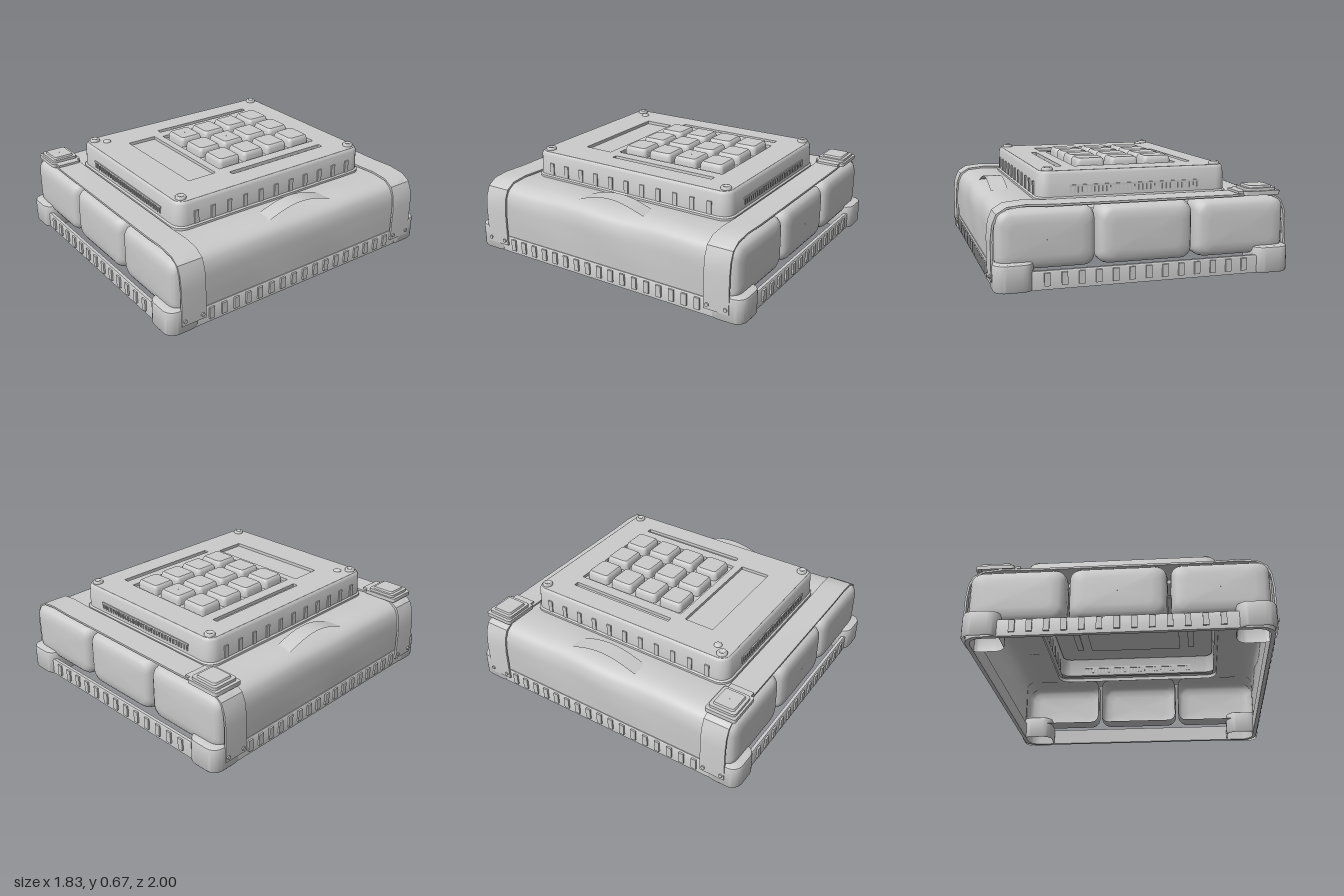
import * as THREE from 'three';
import { toCreasedNormals } from 'three/addons/utils/BufferGeometryUtils.js';

const mat = new THREE.MeshStandardMaterial({ color: 0xcccccc, side: THREE.DoubleSide });

function add(parent, name, geo, x = 0, y = 0, z = 0) {
  const m = new THREE.Mesh(geo, mat);
  m.name = name;
  m.position.set(x, y, z);
  parent.add(m);
  return m;
}
const box = (w, h, d) => new THREE.BoxGeometry(w, h, d);

// Skin through rounded rectangles stacked in y; each section is [width, depth, radius, y]
function loft(sections, cap = false, crease = 0.6) {
  const rows = sections.slice();
  if (cap) rows.push([0.002, 0.002, 0.001, rows[rows.length - 1][3]]);
  const seg = 6, n = 4 * (seg + 1), pos = [], idx = [];
  for (const [w, d, r, y] of rows) {
    for (let q = 0; q < 4; q++) {
      const sx = q === 0 || q === 3 ? 1 : -1, sz = q < 2 ? 1 : -1;
      for (let k = 0; k <= seg; k++) {
        const a = (q + k / seg) * Math.PI / 2;
        pos.push(sx * (w / 2 - r) + r * Math.cos(a), y, sz * (d / 2 - r) + r * Math.sin(a));
      }
    }
  }
  for (let i = 0; i < rows.length - 1; i++) {
    for (let j = 0; j < n; j++) {
      const a = i * n + j, b = i * n + (j + 1) % n;
      idx.push(a, a + n, b, b, a + n, b + n);
    }
  }
  const g = new THREE.BufferGeometry();
  g.setAttribute('position', new THREE.Float32BufferAttribute(pos, 3));
  g.setIndex(idx);
  return toCreasedNormals(g, crease);
}

function rectPath(cx, cz, w, d, r, Type = THREE.Path) {
  const p = new Type(), h = Math.PI / 2, x = w / 2 - r, y = d / 2 - r;
  p.absarc(cx + x, -cz + y, r, 0, h);
  p.absarc(cx - x, -cz + y, r, h, 2 * h);
  p.absarc(cx - x, -cz - y, r, 2 * h, 3 * h);
  p.absarc(cx + x, -cz - y, r, 3 * h, 4 * h);
  p.closePath();
  return p;
}

// Side curve of the soft cover, from its lower hem up to the panel
const coverCurve = new THREE.CatmullRomCurve3([
  [0.88, 0.1], [0.885, 0.25], [0.88, 0.36], [0.855, 0.42], [0.8, 0.452], [0.7, 0.462], [0.58, 0.455],
].map(p => new THREE.Vector3(p[0], p[1], 0)), false, 'centripetal');

function coverSide(s) {
  const g = new THREE.PlaneGeometry(1, 1, 48, 28), p = g.attributes.position;
  for (let i = 0; i < p.count; i++) {
    const t = p.getY(i) + 0.5, z = p.getX(i) * 1.82, c = coverCurve.getPoint(t);
    const wrinkle = 0.007 * Math.sin(z * 9 + t * 5) * Math.sin(t * Math.PI) * Math.cos(z * 1.6);
    p.setXYZ(i, s * (c.x + wrinkle * (1 - t)), c.y + wrinkle * t, -s * z);
  }
  g.computeVertexNormals();
  return g;
}

function strapGeometry() {
  const half = [[0.905, 0.05], [0.905, 0.28], [0.895, 0.37], [0.87, 0.43], [0.81, 0.467], [0.7, 0.478], [0.55, 0.472]];
  const inner = half.map(([x, y]) => [x - 0.012 * (y < 0.45), y - 0.012 * (y > 0.4)]);
  const mirror = a => a.slice().reverse().map(([x, y]) => [-x, y]);
  const pts = [...half, ...mirror(half), ...mirror(mirror(inner)).map(([x, y]) => [x, y])];
  // return along the underside, from the left hem to the right hem
  const under = [...inner.map(([x, y]) => [-x, y]), ...inner.slice().reverse()];
  const outline = [...pts.slice(0, half.length * 2), ...under];
  const shape = new THREE.Shape(outline.map(p => new THREE.Vector2(...p)));
  const g = new THREE.ExtrudeGeometry(shape, { depth: 0.165, bevelEnabled: false });
  return toCreasedNormals(g.translate(0, 0, -0.0825), 0.6);
}

function buildFrame(root) {
  const frame = new THREE.Group();
  frame.name = 'baseFrame';
  root.add(frame);
  add(frame, 'frameWall', loft([
    [1.78, 1.95, 0.1, 0], [1.78, 1.95, 0.1, 0.1], [1.77, 1.94, 0.1, 0.108],
    [1.73, 1.9, 0.08, 0.108], [1.73, 1.9, 0.08, 0], [1.78, 1.95, 0.1, 0]]));
  // Small ribs around the outside
  for (const s of [-1, 1]) {
    for (let i = -6; i <= 6; i++) add(frame, 'endRib', box(0.035, 0.075, 0.016), i * 0.1, 0.06, s * 0.978);
    for (let i = -8; i <= 8; i++) add(frame, 'sideRib', box(0.016, 0.075, 0.035), s * 0.893, 0.06, i * 0.088);
    for (const t of [-1, 1]) {
      add(frame, 'cornerGuard', loft([
        [0.22, 0.22, 0.065, 0], [0.23, 0.23, 0.07, 0.008], [0.23, 0.23, 0.07, 0.14],
        [0.222, 0.222, 0.066, 0.154], [0.2, 0.2, 0.055, 0.16]], true), s * 0.785, 0, t * 0.885);
    }
  }
}

function buildPouches(root) {
  const geo = loft([
    [0.56, 0.34, 0.05, 0], [0.575, 0.345, 0.06, 0.05], [0.575, 0.345, 0.06, 0.105],
    [0.565, 0.335, 0.065, 0.14], [0.54, 0.31, 0.065, 0.16], [0.5, 0.27, 0.055, 0.172],
    [0.4, 0.18, 0.04, 0.178]], true, 1);
  for (const s of [-1, 1]) {
    for (let i = -1; i <= 1; i++) {
      const p = add(root, 'pouch', geo, i * 0.592, 0.28, s * 0.775);
      p.rotation.x = s * Math.PI / 2;
    }
  }
}

function buildCover(root) {
  const strap = strapGeometry();
  for (const s of [-1, 1]) {
    add(root, 'coverSide', coverSide(s));
    const strip = new THREE.PlaneGeometry(1.18, 0.21, 24, 4).rotateX(-Math.PI / 2);
    add(root, 'coverEnd', strip, 0, 0.456, s * 0.805);
    add(root, 'strap', strap, 0, 0, s * 0.833);
    for (const x of [-1, 1]) {
      for (const z of [0.775, 0.895]) {
        const rivet = new THREE.CylinderGeometry(0.012, 0.012, 0.014, 12).rotateZ(Math.PI / 2);
        add(root, 'strapRivet', rivet, x * 0.906, 0.08, s * z);
      }
    }
    // Buckle on each strap
    const buckle = new THREE.Group();
    buckle.name = 'buckle';
    buckle.position.set(-0.735, 0.475, s * 0.838);
    root.add(buckle);
    add(buckle, 'bucklePlate', loft([[0.23, 0.2, 0.015, -0.01], [0.23, 0.2, 0.015, 0.015]], true));
    add(buckle, 'buckleBody', loft([[0.19, 0.175, 0.02, 0.01], [0.19, 0.175, 0.02, 0.032]], true));
    add(buckle, 'buckleButton', loft([[0.15, 0.14, 0.015, 0.03], [0.14, 0.13, 0.015, 0.044]], true));
    add(buckle, 'buckleTongue', box(0.05, 0.014, 0.15), 0.125, 0.008, 0);
    // Arched carrying handle
    const arch = new THREE.PlaneGeometry(0.11, 0.49, 1, 20).rotateX(-Math.PI / 2), p = arch.attributes.position;
    for (let i = 0; i < p.count; i++) p.setY(i, 0.055 * Math.cos(p.getZ(i) / 0.49 * Math.PI));
    arch.computeVertexNormals();
    add(root, 'handle', arch, s * 0.745, 0.459, -0.025);
  }
}

function buildPanel(root) {
  const panel = new THREE.Group();
  panel.name = 'controlPanel';
  root.add(panel);
  add(panel, 'panelWall', loft([
    [1.21, 1.48, 0.08, 0.43], [1.21, 1.48, 0.08, 0.47], [1.19, 1.46, 0.075, 0.478],
    [1.18, 1.45, 0.07, 0.61], [1.165, 1.435, 0.065, 0.625], [1.15, 1.42, 0.06, 0.63]]));
  // Top plate with openings, and a sunken floor under each: x, z, width, depth
  const openings = [[0, -0.145, 0.66, 0.78], [0, 0.395, 0.72, 0.2], [-0.42, -0.15, 0.035, 0.74], [0.42, -0.15, 0.035, 0.74]];
  const shape = rectPath(0, 0, 1.152, 1.422, 0.06, THREE.Shape);
  for (const [x, z, w, d] of openings) {
    shape.holes.push(rectPath(x, z, w, d, 0.004));
    add(panel, 'sunkenFloor', box(w + 0.01, 0.012, d + 0.01), x, 0.604, z);
  }
  const plate = new THREE.ExtrudeGeometry(shape, { depth: 0.025, bevelEnabled: false, curveSegments: 6 });
  add(panel, 'topPlate', plate.rotateX(-Math.PI / 2), 0, 0.605, 0);
  // Keypad
  const key = loft([[0.18, 0.165, 0.025, 0], [0.18, 0.165, 0.025, 0.035], [0.168, 0.153, 0.025, 0.055],
    [0.15, 0.135, 0.02, 0.063]], true);
  for (let i = -1; i <= 1; i++) {
    for (let j = 0; j < 4; j++) add(panel, 'key', key, i * 0.216, 0.609, -0.433 + j * 0.191);
  }
  // Corner screws and indicator lamp
  const screw = new THREE.LatheGeometry([[0.033, 0], [0.033, 0.012], [0.027, 0.02], [0.018, 0.02], [0.016, 0.012], [0, 0.012]]
    .map(p => new THREE.Vector2(...p)), 20);
  for (const x of [-0.53, 0.525]) for (const z of [-0.67, 0.662]) add(panel, 'screw', screw, x, 0.628, z);
  add(panel, 'lamp', new THREE.SphereGeometry(0.026, 16, 6, 0, Math.PI * 2, 0, Math.PI / 2).scale(1, 0.55, 1), -0.472, 0.63, 0.6);
  // Ribs on the long sides, vent grille on the ends
  for (const s of [-1, 1]) {
    for (let i = -5; i <= 5; i++) add(panel, 'panelRib', box(0.014, 0.08, 0.03), s * 0.594, 0.52, i * 0.12);
    add(panel, 'ventRail', box(0.82, 0.012, 0.012), 0, 0.54, s * 0.728);
    for (let i = -16; i <= 16; i++) add(panel, 'ventTooth', box(0.01, 0.035, 0.008), i * 0.025, 0.517, s * 0.73);
  }
}

export function createModel() {
  const root = new THREE.Group();
  root.name = 'keypadDevice';
  buildFrame(root);
  buildPouches(root);
  buildCover(root);
  buildPanel(root);
  return root;
}
